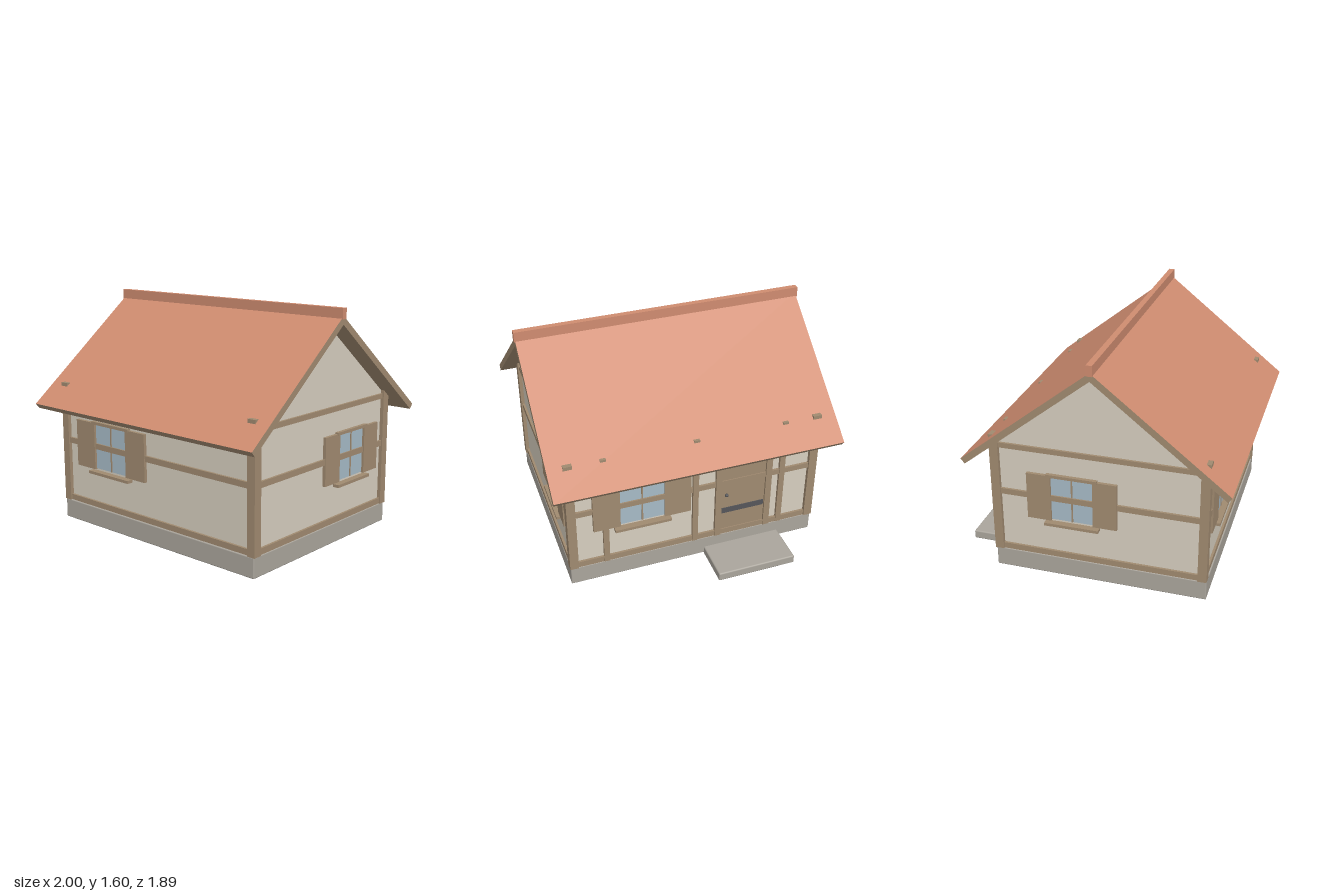
import * as THREE from 'three';
import { RoundedBoxGeometry } from 'three/addons/geometries/RoundedBoxGeometry.js';

const mat = (color) => new THREE.MeshStandardMaterial({ color });
const wood = mat(0xa08a70), plaster = mat(0xd6cebf), stone = mat(0xaaa59c), tile = mat(0xcf8c70);
const glass = mat(0xa6bac6), iron = mat(0x55565a), lamp = mat(0xf0dca0);

const RIDGE_Z = 0.065, RIDGE_Y = 1.55;   // ridge line of the roof
const HALF_X = 0.865, HALF_Z = 0.70;     // plaster wall half sizes

// box given by its min and max on each axis
function block(parent, name, material, [x0, x1], [y0, y1], [z0, z1], radius = 0) {
  const size = [x1 - x0, y1 - y0, z1 - z0];
  const geometry = radius ? new RoundedBoxGeometry(...size, 2, radius) : new THREE.BoxGeometry(...size);
  const mesh = new THREE.Mesh(geometry, material);
  mesh.position.set((x0 + x1) / 2, (y0 + y1) / 2, (z0 + z1) / 2);
  mesh.name = name;
  parent.add(mesh);
  return mesh;
}

// shuttered window; local z = 0 is the plaster, +z points outwards
function addWindow(side, u, halfGlass, shutterWidth) {
  const g = new THREE.Group();
  g.name = 'window';
  g.position.x = u;
  block(g, 'glass', glass, [-halfGlass, halfGlass], [0.43, 0.745], [-0.01, 0.006]);
  block(g, 'mullion', wood, [-0.005, 0.005], [0.43, 0.745], [0, 0.011]);
  for (const s of [-1, 1]) {
    const a = s * halfGlass, b = s * (halfGlass + shutterWidth);
    block(g, 'shutter', wood, [Math.min(a, b), Math.max(a, b)], [0.425, 0.755], [0, 0.022]);
  }
  block(g, 'lintel', wood, [-halfGlass - 0.03, halfGlass + 0.03], [0.745, 0.765], [0, 0.025]);
  block(g, 'sill', wood, [-halfGlass - 0.042, halfGlass + 0.042], [0.395, 0.415], [0, 0.045]);
  side.add(g);
}

// one wall face with its bottom, middle and top beams
function addSide(house, name, angle, halfWidth, distance) {
  const side = new THREE.Group();
  side.name = name;
  side.rotation.y = angle;
  side.position.set(Math.sin(angle) * distance, 0, Math.cos(angle) * distance);
  for (const y of [[0.145, 0.188], [0.57, 0.61], [0.91, 0.945]])
    block(side, 'beam', wood, [-halfWidth, halfWidth], y, [-0.02, 0.016]);
  house.add(side);
  return side;
}

function addDoor(side) {
  const door = new THREE.Group();
  door.name = 'door';
  door.position.x = 0.35;
  block(door, 'doorPanel', wood, [-0.16, 0.16], [0.15, 0.84], [-0.01, 0.010]);
  for (const y of [0.35, 0.73])
    block(door, 'strapHinge', iron, [-0.155, 0.155], [y - 0.022, y + 0.022], [0, 0.014]);
  for (const x of [-0.183, 0.183])
    block(door, 'doorJamb', wood, [x - 0.022, x + 0.022], [0.145, 0.93], [-0.01, 0.022]);
  block(door, 'doorLintel', wood, [-0.16, 0.16], [0.84, 0.875], [-0.01, 0.018]);
  const knob = new THREE.Mesh(new THREE.SphereGeometry(0.012, 12, 8), iron);
  knob.name = 'doorKnob';
  knob.position.set(-0.125, 0.485, 0.02);
  door.add(knob);
  side.add(door);
}

function addLantern(side) {
  const g = new THREE.Group();
  g.name = 'lantern';
  g.position.set(0.63, 0, 0.045);
  const part = (name, top, bottom, height, y, material) => {
    const m = new THREE.Mesh(new THREE.CylinderGeometry(top, bottom, height, 12), material);
    m.name = name;
    m.position.y = y;
    g.add(m);
  };
  part('lanternGlass', 0.018, 0.016, 0.055, 0.823, lamp);
  part('lanternBase', 0.018, 0.018, 0.006, 0.793, iron);
  part('lanternCap', 0.006, 0.022, 0.014, 0.856, iron);
  block(g, 'lanternBracket', iron, [-0.006, 0.006], [0.852, 0.862], [-0.03, 0]);
  side.add(g);
}

export function createModel() {
  const root = new THREE.Group();
  root.name = 'cottage';
  const house = new THREE.Group();
  house.name = 'house';
  house.position.z = RIDGE_Z;
  root.add(house);

  // stone base and doorstep
  block(house, 'foundation', stone, [-0.885, 0.885], [0.01, 0.148], [-0.718, 0.725], 0.008);
  block(root, 'doorstep', stone, [-0.63, -0.07], [0, 0.063], [-0.945, -0.645], 0.01);

  // plaster body with gables
  const outline = new THREE.Shape([[-HALF_Z, 0.14], [HALF_Z, 0.14], [HALF_Z, 0.95], [0, 1.51], [-HALF_Z, 0.95]]
    .map(([x, y]) => new THREE.Vector2(x, y)));
  const bodyGeometry = new THREE.ExtrudeGeometry(outline, { depth: HALF_X * 2, bevelEnabled: false });
  bodyGeometry.translate(0, 0, -HALF_X).rotateY(Math.PI / 2);
  const body = new THREE.Mesh(bodyGeometry, plaster);
  body.name = 'walls';
  house.add(body);

  // corner posts, their tops poking through the roof
  for (const sx of [-1, 1]) for (const sz of [-1, 1]) {
    const x = sx * 0.86, z = sz * 0.695;
    block(house, 'cornerPost', wood, [x - 0.03, x + 0.03], [0.145, 1], [z - 0.03, z + 0.03]);
  }

  // four timbered sides
  const front = addSide(house, 'frontSide', 0, 0.84, HALF_Z);
  addWindow(front, -0.40, 0.155, 0.185);
  const right = addSide(house, 'positiveXSide', Math.PI / 2, 0.68, HALF_X);
  addWindow(right, 0.297, 0.142, 0.162);
  const left = addSide(house, 'negativeXSide', -Math.PI / 2, 0.68, HALF_X);
  addWindow(left, -0.175, 0.142, 0.162);
  const back = addSide(house, 'backSide', Math.PI, 0.84, HALF_Z);
  addWindow(back, -0.375, 0.155, 0.185);
  for (const x of [-0.63, 0, 0.63])
    block(back, 'wallPost', wood, [x - 0.02, x + 0.02], [0.145, 0.995], [-0.02, 0.02]);
  addDoor(back);
  addLantern(back);

  // roof slopes: timber slabs with a tiled upper face
  const run = 0.877, drop = 0.695, thickness = 0.043;
  const length = Math.hypot(run, drop), pitch = Math.atan2(drop, run);
  for (const s of [-1, 1]) {
    const slope = new THREE.Group();
    slope.name = 'roofSlope';
    slope.position.y = RIDGE_Y;
    slope.rotation.x = s * pitch;
    const slab = block(slope, 'roofSlab', [wood, wood, tile, wood, wood, wood],
      [-0.993, 0.993], [-thickness, 0], [0, length]);
    slab.position.z *= s;
    house.add(slope);
  }
  block(house, 'ridgeCap', tile, [-1, 1], [1.53, 1.6], [-0.02, 0.02]);
  return root;
}
